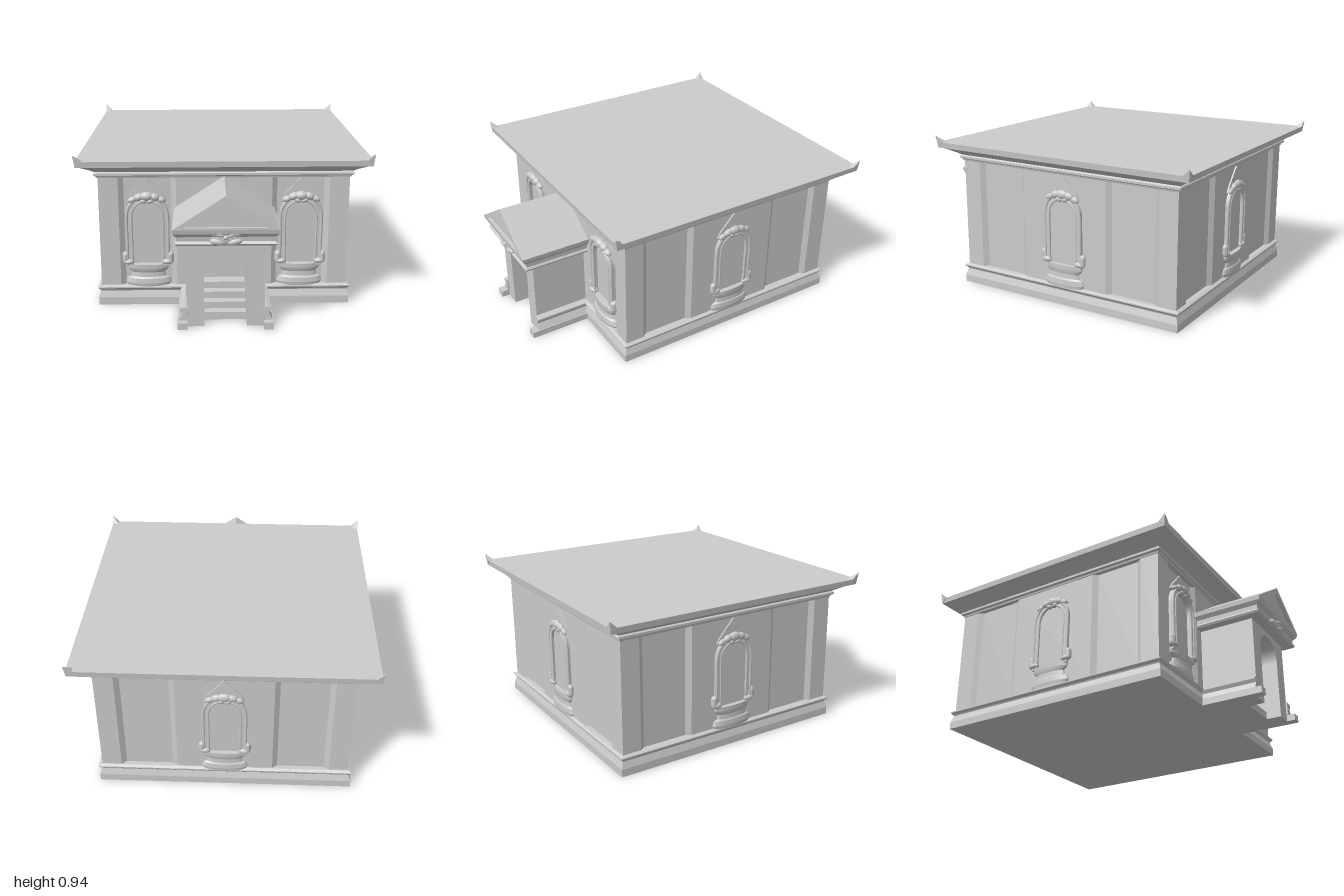
import * as THREE from 'three';

const flat = new THREE.MeshStandardMaterial({ color: 0xcccccc, flatShading: true, side: THREE.DoubleSide });
const smooth = new THREE.MeshStandardMaterial({ color: 0xcccccc });

function add(parent, name, geometry, x = 0, y = 0, z = 0, material = flat) {
  const mesh = new THREE.Mesh(geometry, material);
  mesh.name = name;
  mesh.position.set(x, y, z);
  parent.add(mesh);
  return mesh;
}

// Square moulding from [halfWidth, y] pairs, bottom to top
function squareLoft(profile) {
  const pts = profile.map(([h, y]) => new THREE.Vector2(h * Math.SQRT2, y));
  return new THREE.LatheGeometry(pts, 4, Math.PI / 4);
}

function polygon(points) {
  return new THREE.Shape(points.map(([x, y]) => new THREE.Vector2(x, y)));
}

function extrude(shape, depth) {
  return new THREE.ExtrudeGeometry(shape, { depth, bevelEnabled: false, curveSegments: 16 });
}

// Round-headed outline standing on y0
function arch(half, y0, spring, PathType = THREE.Shape) {
  const p = new PathType();
  p.moveTo(-half, y0);
  p.lineTo(half, y0);
  p.lineTo(half, spring);
  p.absarc(0, spring, half, 0, Math.PI, false);
  p.closePath();
  return p;
}

function blob(parent, name, x, y, z, rx, ry, rz, tilt = 0) {
  const m = add(parent, name, new THREE.SphereGeometry(1, 16, 10), x, y, z, smooth);
  m.scale.set(rx, ry, rz);
  m.rotation.z = tilt;
}

// Ornate blind window, standing against a wall plane at z = 0
function makeWindow() {
  const g = new THREE.Group();
  g.name = 'window';
  const gable = polygon([[-0.115, 0.64], [0.115, 0.64], [0.095, 0.675], [0, 0.78], [-0.095, 0.675]]);
  add(g, 'windowGable', extrude(gable, 0.01));
  const frame = arch(0.125, 0.24, 0.55);
  frame.holes.push(arch(0.095, 0.25, 0.55, THREE.Path));
  add(g, 'windowFrame', extrude(frame, 0.022));

  // Beads along the inside and outside of the frame
  for (const [half, r] of [[0.092, 0.007], [0.12, 0.009]]) {
    const pts = [[-half, 0.25], [-half, 0.4], [-half, 0.55]].map(([x, y]) => new THREE.Vector3(x, y, 0.02));
    for (let i = 1; i < 8; i++) {
      const a = Math.PI * (1 - i / 8);
      pts.push(new THREE.Vector3(Math.cos(a) * half, 0.55 + Math.sin(a) * half, 0.02));
    }
    for (const y of [0.55, 0.4, 0.25]) pts.push(new THREE.Vector3(half, y, 0.02));
    add(g, 'frameBead', new THREE.TubeGeometry(new THREE.CatmullRomCurve3(pts), 48, r, 8), 0, 0, 0, smooth);
  }

  // Scrolled crest
  blob(g, 'crestCentre', 0, 0.67, 0.022, 0.04, 0.027, 0.022);
  for (const s of [-1, 1]) {
    blob(g, 'crestCurl', s * 0.045, 0.665, 0.02, 0.032, 0.022, 0.02, -s * 0.3);
    blob(g, 'crestLeaf', s * 0.085, 0.648, 0.018, 0.027, 0.018, 0.016, -s * 0.4);
    blob(g, 'crestDrop', s * 0.02, 0.642, 0.02, 0.022, 0.016, 0.017, s * 0.3);
    // Scroll brackets beside the sill
    add(g, 'sideBracket', new THREE.CapsuleGeometry(0.02, 0.035, 4, 10), s * 0.132, 0.293, 0.014, smooth);
    blob(g, 'bracketFoot', s * 0.115, 0.268, 0.016, 0.035, 0.018, 0.022);
  }

  // Sill bowl and pedestal
  const profile = [[0.125, 0.115], [0.135, 0.135], [0.125, 0.163], [0.103, 0.172], [0.098, 0.2],
    [0.112, 0.212], [0.122, 0.225], [0.125, 0.25], [0, 0.25]].map(([x, y]) => new THREE.Vector2(x, y));
  const sill = add(g, 'sillAndPedestal', new THREE.LatheGeometry(profile, 20, -Math.PI / 2, Math.PI));
  sill.scale.z = 0.27;
  return g;
}

function makeHall() {
  const hall = new THREE.Group();
  hall.name = 'hall';
  hall.position.z = -0.15;

  add(hall, 'basePlinth', squareLoft([[0, 0], [0.748, 0], [0.748, 0.045], [0.735, 0.085], [0.738, 0.092],
    [0.75, 0.105], [0.75, 0.112], [0.735, 0.12], [0, 0.12]]));

  // Walls with splayed recesses between corner piers and middle bays
  const side = [[-0.73, 0.73], [-0.615, 0.73], [-0.585, 0.708], [-0.31, 0.708], [-0.28, 0.73],
    [0.28, 0.73], [0.31, 0.708], [0.585, 0.708], [0.615, 0.73]];
  const plan = [];
  for (let k = 0; k < 4; k++) {
    const c = [1, 0, -1, 0][k], s = [0, -1, 0, 1][k];
    for (const [x, y] of side) plan.push([x * c - y * s, x * s + y * c]);
  }
  add(hall, 'walls', extrude(polygon(plan), 0.69).rotateX(-Math.PI / 2), 0, 0.11, 0);

  add(hall, 'cornice', squareLoft([[0.68, 0.78], [0.735, 0.78], [0.738, 0.79], [0.75, 0.797],
    [0.75, 0.81], [0.738, 0.82], [0.68, 0.82]]));
  add(hall, 'roof', squareLoft([[0, 0.815], [0.738, 0.815], [0.775, 0.838], [0.82, 0.862],
    [0.838, 0.866], [0.842, 0.9], [0, 0.9]]));

  // Upturned roof corners: ring of four points rising to a tip
  for (let k = 0; k < 4; k++) {
    const horn = new THREE.BufferGeometry();
    horn.setAttribute('position', new THREE.Float32BufferAttribute([
      0.8, 0.895, 0.8, 0.805, 0.9, 0.846, 0.84, 0.866, 0.84, 0.846, 0.9, 0.805,
      0.848, 0.94, 0.85], 3));
    horn.setIndex([0, 1, 4, 1, 2, 4, 2, 3, 4, 3, 0, 4, 0, 2, 1, 0, 3, 2]);
    horn.computeVertexNormals();
    add(hall, 'roofHorn', horn).rotation.y = k * Math.PI / 2;
  }

  // Two windows in front, one on each other side
  for (const x of [-0.45, 0.45]) {
    const w = makeWindow();
    w.position.set(x, 0, 0.708);
    w.scale.z = 1.25;
    hall.add(w);
  }
  for (let k = 1; k < 4; k++) {
    const w = makeWindow();
    const a = k * Math.PI / 2;
    w.position.set(Math.sin(a) * 0.73, 0, Math.cos(a) * 0.73);
    w.rotation.y = a;
    w.scale.z = 0.85;
    hall.add(w);
  }
  return hall;
}

function makePorch() {
  const porch = new THREE.Group();
  porch.name = 'porch';

  // Walls with a round-headed passage
  const wall = polygon([[0.12, 0], [0.22, 0], [0.22, 0.51], [-0.22, 0.51], [-0.22, 0], [-0.12, 0]]);
  wall.lineTo(-0.12, 0.352);
  wall.absarc(0, 0.352, 0.12, Math.PI, 0, true);
  wall.closePath();
  add(porch, 'porchWalls', extrude(wall, 0.345), 0, 0, 0.57);

  // Stairs inside the passage
  for (let i = 0; i < 4; i++) {
    const h = 0.045 + i * 0.04, depth = 0.25 - i * 0.055;
    add(porch, 'step', new THREE.BoxGeometry(0.24, h, depth), 0, h / 2, 0.575 + depth / 2);
  }

  // Plinth mouldings along both sides
  for (const s of [-1, 1]) {
    add(porch, 'porchFoot', new THREE.BoxGeometry(0.055, 0.04, 0.395), s * 0.2425, 0.02, 0.7675);
    const profile = [[0.21, 0.04], [0.265, 0.04], [0.245, 0.08], [0.256, 0.1], [0.256, 0.112], [0.235, 0.12], [0.21, 0.12]];
    const pts = profile.map(([x, y]) => [s * x, y]);
    add(porch, 'porchPlinth', extrude(polygon(pts), 0.355), 0, 0, 0.57);
  }

  // Cornice runs back into the hall
  const cornice = add(porch, 'porchCornice', squareLoft([[0, 0.5], [0.272, 0.5], [0.279, 0.512], [0.27, 0.525],
    [0.272, 0.55], [0.288, 0.572], [0.292, 0.598], [0, 0.598]]), 0, 0, 0.6);
  cornice.scale.z = 0.4 / 0.292;

  // Gabled roof and recessed pediment
  const gable = polygon([[-0.292, 0.596], [0.292, 0.596], [0, 0.788]]);
  gable.holes.push(new THREE.Path([[-0.225, 0.608], [0.225, 0.608], [0, 0.748]].map(([x, y]) => new THREE.Vector2(x, y))));
  add(porch, 'porchRoof', extrude(gable, 0.43), 0, 0, 0.57);
  add(porch, 'pediment', extrude(polygon([[-0.24, 0.6], [0.24, 0.6], [0, 0.755]]), 0.41), 0, 0, 0.57);

  // Carved scroll ornament over the doorway
  blob(porch, 'ornamentBack', 0, 0.543, 0.965, 0.085, 0.045, 0.025);
  blob(porch, 'ornamentBoss', 0, 0.55, 0.983, 0.016, 0.014, 0.014);
  for (const s of [-1, 1]) {
    blob(porch, 'ornamentCurl', s * 0.062, 0.57, 0.972, 0.03, 0.02, 0.02, s * 0.15);
    blob(porch, 'ornamentBrow', s * 0.035, 0.565, 0.98, 0.03, 0.013, 0.015, s * 0.3);
    blob(porch, 'ornamentCheek', s * 0.045, 0.523, 0.975, 0.045, 0.02, 0.02, s * 0.15);
  }
  return porch;
}

export function createModel() {
  const model = new THREE.Group();
  model.name = 'pavilion';
  model.add(makeHall(), makePorch());
  return model;
}
